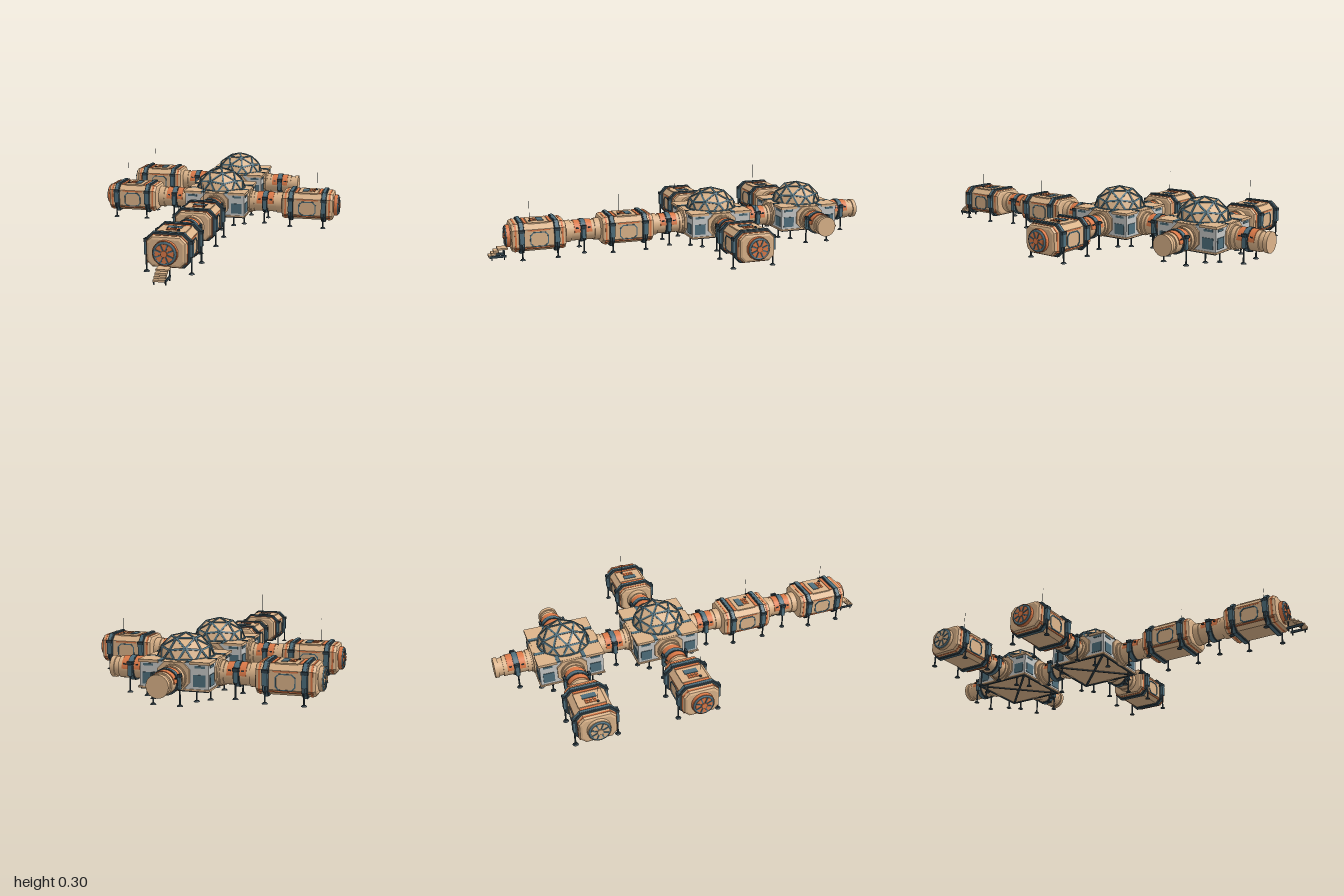
import * as THREE from 'three';

const mat = (name, color) => {
  const m = new THREE.MeshStandardMaterial({ color });
  m.name = name;
  return m;
};

export function createModel() {
  const tan = mat('tan hull', 0xdcb48a), orange = mat('orange trim', 0xdd7a48);
  const grey = mat('pale grey panel', 0xc6c8c6), teal = mat('teal fitting', 0x4f6f7d);
  const dark = mat('dark metal', 0x2f4049);
  const model = new THREE.Group();
  model.name = 'baseStation';
  const AXIS_Y = 0.113; // height of every tunnel axis

  const add = (parent, name, geo, m, x = 0, y = 0, z = 0) => {
    const mesh = new THREE.Mesh(geo, m);
    mesh.name = name;
    mesh.position.set(x, y, z);
    parent.add(mesh);
    return mesh;
  };
  const group = (parent, name, x = 0, y = 0, z = 0, ry = 0) => {
    const g = new THREE.Group();
    g.name = name;
    g.position.set(x, y, z);
    g.rotation.y = ry;
    parent.add(g);
    return g;
  };
  const box = (p, n, m, w, h, d, x, y, z) => add(p, n, new THREE.BoxGeometry(w, h, d), m, x, y, z);
  // cylinder lying along z
  const drum = (p, n, m, r, len, z, y = 0) =>
    add(p, n, new THREE.CylinderGeometry(r, r, len, 24).rotateX(Math.PI / 2), m, 0, y, z);
  // rectangle with cut corners
  const chamfered = (w, h, c, Type = THREE.Shape) => {
    const a = w / 2, b = h / 2;
    return new Type([[-a + c, -b], [a - c, -b], [a, -b + c], [a, b - c], [a - c, b], [-a + c, b], [-a, b - c], [-a, -b + c]]
      .map(([x, y]) => new THREE.Vector2(x, y)));
  };
  const prism = (shape, depth, bevel = 0) => new THREE.ExtrudeGeometry(shape, {
    depth: depth - 2 * bevel, bevelEnabled: bevel > 0, bevelSize: bevel, bevelThickness: bevel, bevelOffset: -bevel, bevelSegments: 2,
  }).translate(0, 0, bevel - depth / 2);

  // leg reaching down from world height top, in a group whose y = 0 is the ground
  const leg = (p, x, z, top) => {
    add(p, 'leg', new THREE.CylinderGeometry(0.004, 0.004, top - 0.012, 8), dark, x, (top + 0.012) / 2, z);
    add(p, 'foot', new THREE.CylinderGeometry(0.009, 0.014, 0.006, 10), dark, x, 0.013, z);
  };

  // collar with an orange hood, clamps and legs
  const collar = (p, z) => {
    const g = group(p, 'tunnelCollar', 0, 0, z);
    const arc = new THREE.CylinderGeometry(0.0535, 0.0535, 0.088, 16, 1, false, Math.PI / 2, Math.PI).rotateX(Math.PI / 2);
    add(g, 'orangeHood', arc, orange, 0, AXIS_Y, 0);
    drum(g, 'collarRing', teal, 0.058, 0.02, 0, AXIS_Y);
    drum(g, 'collarCore', dark, 0.0565, 0.028, 0, AXIS_Y);
    for (const s of [-1, 1]) {
      box(g, 'clamp', dark, 0.012, 0.014, 0.026, s * 0.06, 0.142, 0);
      box(g, 'legHousing', teal, 0.01, 0.05, 0.02, s * 0.06, 0.108, 0);
      leg(g, s * 0.06, 0, 0.09);
      for (const t of [-1, 1]) box(g, 'darkVent', dark, 0.004, 0.006, 0.012, s * 0.052, 0.135, t * 0.03);
    }
  };
  const tunnel = (p, z, len = 0.18) => {
    const g = group(p, 'tunnel', 0, 0, z);
    drum(g, 'tunnelTube', tan, 0.05, len, 0, AXIS_Y);
    for (const s of [-1, 1]) drum(g, 'tunnelFlange', tan, 0.055, 0.03, s * (len / 2 - 0.016), AXIS_Y);
    collar(g, 0);
  };
  const stub = (p) => {
    const g = group(p, 'openTunnel');
    drum(g, 'tunnelTube', tan, 0.05, 0.15, 0.235, AXIS_Y);
    drum(g, 'tunnelFlange', tan, 0.055, 0.03, 0.178, AXIS_Y);
    drum(g, 'tunnelNeck', tan, 0.044, 0.04, 0.322, AXIS_Y);
    drum(g, 'endRing', tan, 0.05, 0.02, 0.342, AXIS_Y);
    collar(g, 0.247);
  };

  // round hatch with a spoked wheel, facing +z
  const hatch = (p, z, m) => {
    const g = group(p, 'hatch', 0, 0, z);
    drum(g, 'hatchBase', m, 0.055, 0.02, 0.008);
    add(g, 'hatchRing', new THREE.TorusGeometry(0.046, 0.006, 6, 24), teal, 0, 0, 0.018);
    drum(g, 'hatchDoor', m, 0.042, 0.008, 0.02);
    for (let i = 0; i < 4; i++) box(g, 'hatchSpoke', teal, 0.084, 0.006, 0.004, 0, 0, 0.025).rotation.z = i * Math.PI / 4 + Math.PI / 8;
    drum(g, 'hatchHub', m, 0.014, 0.008, 0.026);
  };

  // living module centred at z, long axis along z
  const module = (p, z, end) => {
    const g = group(p, 'module', 0, 0, z);
    const b = group(g, 'moduleBody', 0, AXIS_Y, 0);
    add(b, 'hull', prism(chamfered(0.176, 0.136, 0.026), 0.268, 0.014), tan);
    for (const s of [-1, 1]) {
      add(b, 'strap', prism(chamfered(0.198, 0.152, 0.03), 0.026, 0.004), dark, 0, 0, s * 0.085);
      add(b, 'strapBand', prism(chamfered(0.201, 0.155, 0.031), 0.014), teal, 0, 0, s * 0.085);
      box(b, 'topStripe', orange, 0.124, 0.006, 0.014, 0, 0.068, s * 0.061);
      add(b, 'endTrim', prism(chamfered(0.179, 0.139, 0.027), 0.009), orange, 0, 0, s * 0.113);
      for (const t of [-1, 1]) {
        box(b, 'legHousing', teal, 0.012, 0.06, 0.024, s * 0.101, 0.005, t * 0.085);
        box(b, 'clamp', dark, 0.018, 0.014, 0.03, s * 0.099, 0.038, t * 0.085);
        leg(g, s * 0.1, t * 0.085, 0.1);
      }
      // eight-sided side panel frame
      const frame = chamfered(0.09, 0.074, 0.016);
      frame.holes.push(chamfered(0.08, 0.064, 0.014, THREE.Path));
      add(b, 'sideFrame', prism(frame, 0.006), teal, s * 0.088, -0.008, 0).rotation.y = Math.PI / 2;
      box(b, 'sideStripe', orange, 0.004, 0.006, 0.11, s * 0.087, 0.037, 0);
      box(b, 'lowerStripe', orange, 0.004, 0.006, 0.24, s * 0.084, -0.05, 0);
    }
    // roof equipment
    box(b, 'roofPanel', tan, 0.13, 0.006, 0.1, 0, 0.068, 0);
    box(b, 'roofVent', teal, 0.066, 0.008, 0.03, 0, 0.07, -0.016);
    for (let i = 0; i < 6; i++) box(b, 'roofGrille', orange, 0.015, 0.008, 0.012, (i % 3 - 1) * 0.019, 0.07, 0.01 + Math.floor(i / 3) * 0.016);
    box(b, 'antennaBase', dark, 0.01, 0.008, 0.01, 0.03, 0.073, 0.036);
    add(b, 'antenna', new THREE.CylinderGeometry(0.0008, 0.0008, 0.115, 5), dark, 0.03, 0.127, 0.036);
    if (end) hatch(b, 0.133, end);
  };

  // geodesic half dome: flat panels with a strut along every edge
  const dome = (p, R) => {
    const g = group(p, 'dome', 0, 0.168, 0);
    const geo = new THREE.IcosahedronGeometry(R, 1).rotateZ(-Math.atan(2 / (1 + Math.sqrt(5)))).scale(1, 0.89, 1);
    const pos = geo.attributes.position, panels = [], edges = new Map();
    const key = (v) => v.toArray().map((n) => Math.round(n * 1e4)).join();
    for (let i = 0; i < pos.count; i += 3) {
      const t = [0, 1, 2].map((k) => new THREE.Vector3().fromBufferAttribute(pos, i + k));
      if (t[0].y + t[1].y + t[2].y < 0) continue;
      t.forEach((a, k) => {
        panels.push(...a.toArray());
        const c = t[(k + 1) % 3];
        edges.set([key(a), key(c)].sort().join('|'), [a, c]);
      });
    }
    const shell = new THREE.BufferGeometry();
    shell.setAttribute('position', new THREE.Float32BufferAttribute(panels, 3));
    shell.computeVertexNormals();
    add(g, 'domePanels', shell, tan);
    // struts are flat bars whose broad face looks outward
    for (const [a, c] of edges.values()) {
      const mid = a.clone().add(c).multiplyScalar(0.5), along = c.clone().sub(a), len = along.length();
      along.normalize();
      const side = along.clone().cross(mid).normalize();
      const strut = box(g, 'domeStrut', teal, 0.009, len, 0.006, ...mid.toArray());
      strut.quaternion.setFromRotationMatrix(new THREE.Matrix4().makeBasis(side, along, side.clone().cross(along)));
    }
  };

  const hub = (z) => {
    const g = group(model, 'hub', 0, 0, z);
    box(g, 'hubBody', grey, 0.314, 0.115, 0.314, 0, 0.121, 0);
    box(g, 'hubFloor', tan, 0.324, 0.008, 0.324, 0, 0.062, 0);
    box(g, 'hubRoof', tan, 0.31, 0.008, 0.31, 0, 0.178, 0);
    for (const s of [-1, 1]) {
      for (const t of [-1, 1]) box(g, 'roofCorner', tan, 0.092, 0.012, 0.092, s * 0.117, 0.179, t * 0.117);
      box(g, 'roofStrip', teal, 0.018, 0.007, 0.322, s * 0.063, 0.1825, 0);
      box(g, 'roofStrip', teal, 0.322, 0.007, 0.018, 0, 0.1825, s * 0.063);
      box(g, 'floorBeam', dark, 0.01, 0.006, 0.43, 0, 0.056, 0).rotation.y = s * Math.PI / 4;
      box(g, 'floorRail', dark, 0.008, 0.006, 0.31, s * 0.15, 0.056, 0);
      box(g, 'floorRail', dark, 0.31, 0.006, 0.008, 0, 0.056, s * 0.15);
    }
    add(g, 'domeCurb', new THREE.CylinderGeometry(0.13, 0.132, 0.01, 20), teal, 0, 0.182, 0);
    dome(g, 0.131);
    // four identical walls
    for (let i = 0; i < 4; i++) {
      const w = group(g, 'hubWall', 0, 0, 0, i * Math.PI / 2);
      add(w, 'doorSurround', prism(chamfered(0.146, 0.118, 0.03), 0.02), tan, 0, 0.122, 0.156);
      drum(w, 'portRing', tan, 0.06, 0.03, 0.158, AXIS_Y);
      for (const s of [-1, 1]) {
        box(w, 'wallWindow', teal, 0.056, 0.052, 0.006, s * 0.116, 0.103, 0.157);
        box(w, 'upperGrille', teal, 0.046, 0.01, 0.006, s * 0.118, 0.163, 0.157);
        leg(w, s * 0.1, 0.147, 0.06);
      }
    }
    return g;
  };

  const frontHub = hub(-0.153), rearHub = hub(-0.648);
  const arm = (h, turn) => group(h, 'arm', 0, 0, 0, turn * Math.PI / 2);

  // front chain of two modules
  const front = arm(frontHub, 0);
  tunnel(front, 0.247);
  module(front, 0.47);
  tunnel(front, 0.691);
  module(front, 0.915, orange);
  // side arms and the link between hubs
  for (const [h, turn, end] of [[frontHub, 1, orange], [frontHub, -1, orange], [rearHub, -1, tan]]) {
    const a = arm(h, turn);
    tunnel(a, 0.247);
    module(a, 0.473, end);
  }
  tunnel(arm(frontHub, 2), 0.2475);
  for (const turn of [1, 2]) stub(arm(rearHub, turn));

  // entry stairs: a landing and lower treads over a dark frame
  const stairs = group(model, 'stairs');
  box(stairs, 'landing', tan, 0.054, 0.008, 0.05, 0, 0.054, 0.932);
  for (let i = 0; i < 3; i++) box(stairs, 'step', tan, 0.05, 0.009, 0.026, 0, 0.043 - i * 0.011, 0.962 + i * 0.0125);
  for (const s of [-1, 1]) {
    box(stairs, 'stairFrame', dark, 0.005, 0.012, 0.08, s * 0.025, 0.018, 0.956);
    for (const z of [0.925, 0.985]) box(stairs, 'stairPost', dark, 0.005, 0.02, 0.005, s * 0.025, 0.01, z);
    box(stairs, 'landingPost', dark, 0.005, 0.04, 0.005, s * 0.025, 0.032, 0.925);
  }
  return model;
}
